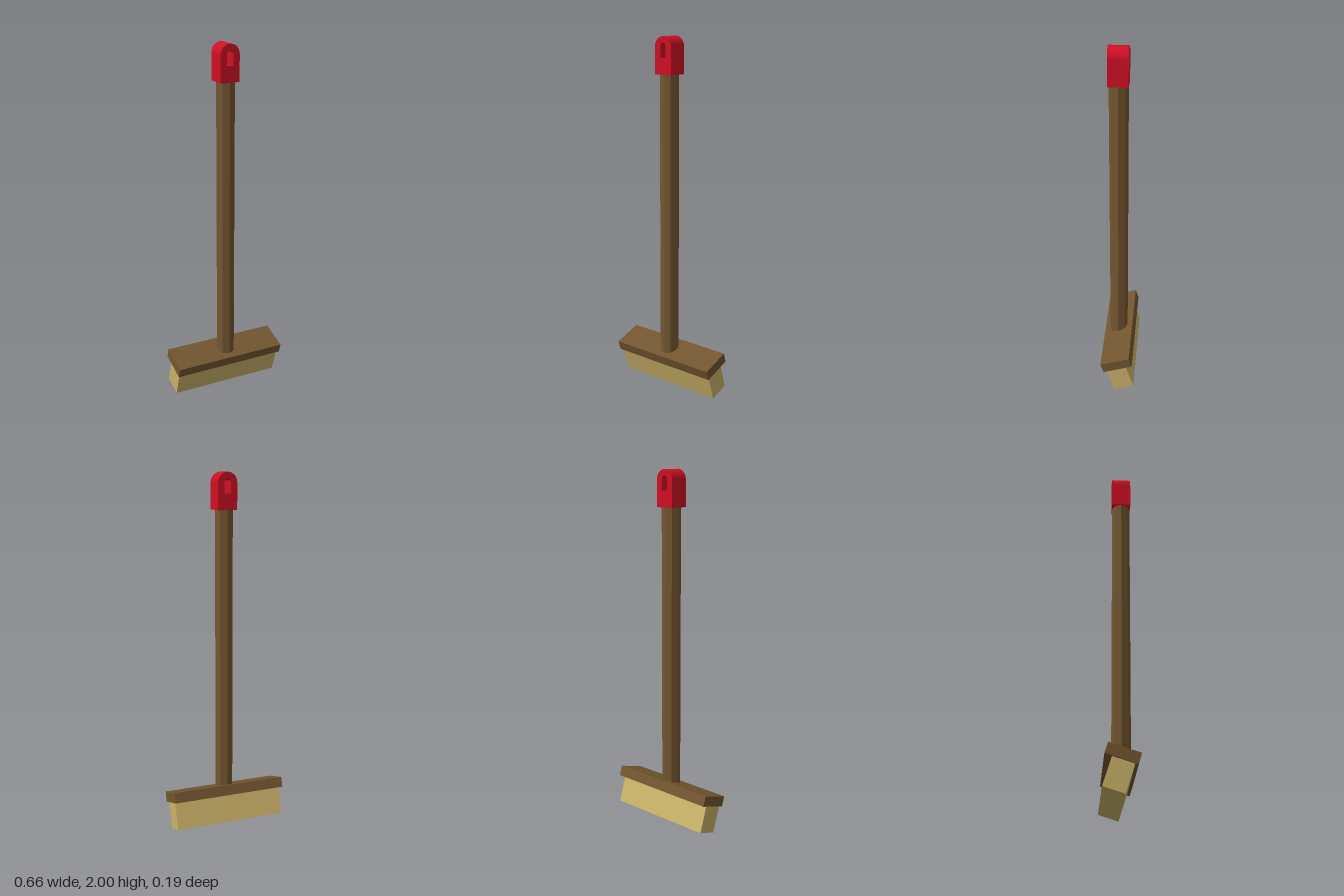
import * as THREE from 'three';

const material = (color) => new THREE.MeshStandardMaterial({ color, flatShading: true });

function addPart(parent, name, geometry, mat, x, y, z) {
  const mesh = new THREE.Mesh(geometry, mat);
  mesh.name = name;
  mesh.position.set(x, y, z);
  parent.add(mesh);
  return mesh;
}

// Straight sides with a half-round top
function archOutline(path, radius, bottom, shoulder) {
  path.moveTo(-radius, bottom);
  path.lineTo(radius, bottom);
  path.lineTo(radius, shoulder);
  path.absarc(0, shoulder, radius, 0, Math.PI, false);
  path.lineTo(-radius, bottom);
  return path;
}

export function createModel() {
  const wood = material(0x735630);
  const bristle = material(0xc9b268);
  const red = material(0xd00f25);
  const model = new THREE.Group();
  model.name = 'broom';
  const handleZ = 0.0115;

  // Tilted head: wooden block with the bristle block set slightly forward below it
  const head = new THREE.Group();
  head.name = 'head';
  head.position.set(0, 0.196, 0.0035);
  head.rotation.x = 0.312;
  model.add(head);
  addPart(head, 'headBlock', new THREE.BoxGeometry(0.66, 0.058, 0.172), wood, 0, 0, 0);
  addPart(head, 'bristles', new THREE.BoxGeometry(0.64, 0.154, 0.118), bristle, 0, -0.106, 0.012);

  // Eight-sided pole
  const bottom = 0.205, top = 1.81;
  addPart(model, 'handle', new THREE.CylinderGeometry(0.052, 0.052, top - bottom, 8), wood,
    0, (top + bottom) / 2, handleZ);

  // Arched cap with a hanging slot through it
  const depth = 0.109;
  const outline = archOutline(new THREE.Shape(), 0.055, 1.8, 1.945);
  outline.holes.push(archOutline(new THREE.Path(), 0.018, 1.887, 1.949));
  const capGeometry = new THREE.ExtrudeGeometry(outline, { depth, bevelEnabled: false, curveSegments: 8 });
  addPart(model, 'handleCap', capGeometry, red, 0, 0, handleZ - depth / 2);

  return model;
}
